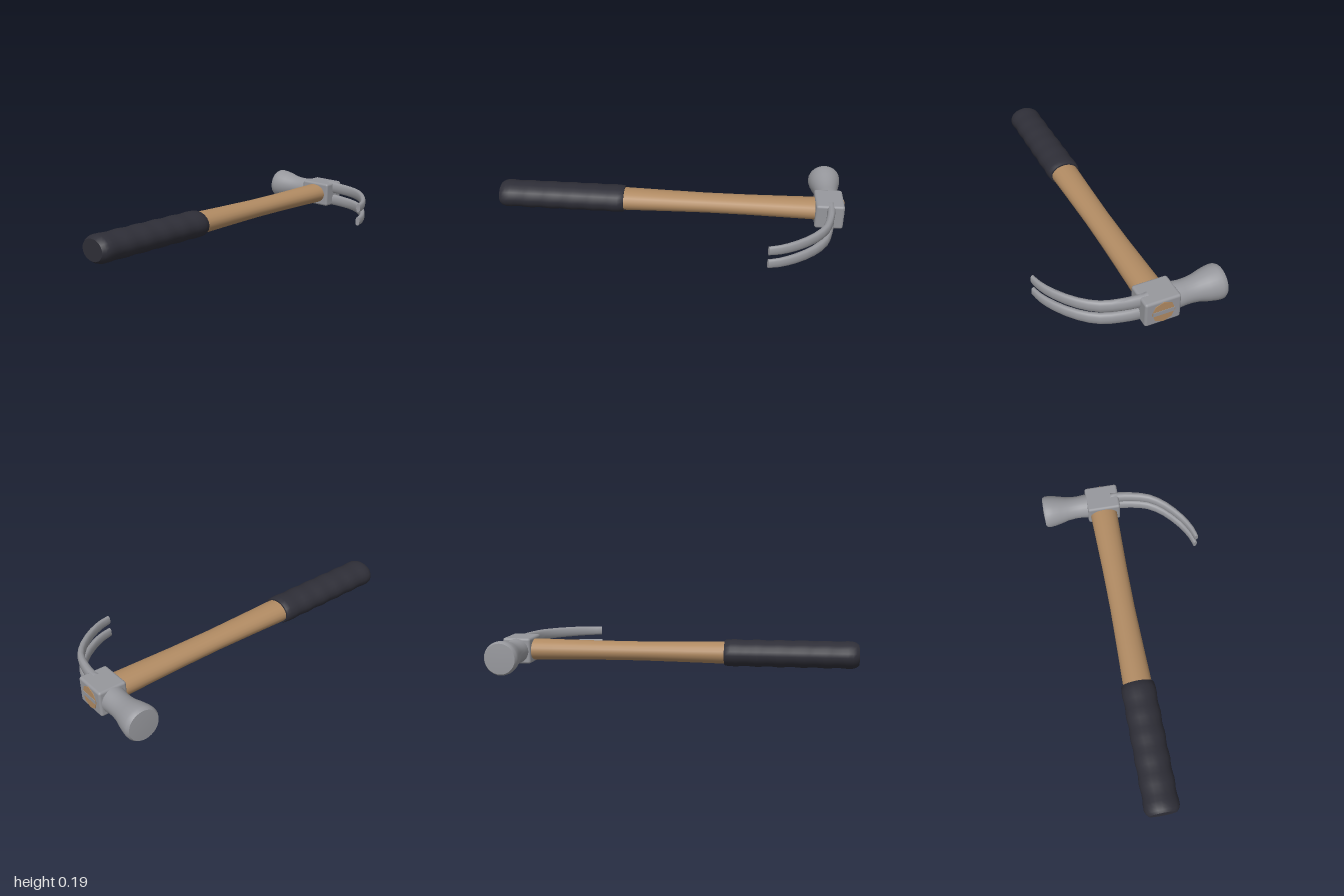
import * as THREE from 'three';
import { toCreasedNormals } from 'three/addons/utils/BufferGeometryUtils.js';
import { RoundedBoxGeometry } from 'three/addons/geometries/RoundedBoxGeometry.js';

const material = (name, color) => {
  const m = new THREE.MeshStandardMaterial({ color });
  m.name = name;
  return m;
};

const mesh = (name, geometry, mat) => {
  const m = new THREE.Mesh(geometry, mat);
  m.name = name;
  return m;
};

// Turned solid from [radius, distance along axis] pairs
const turned = (profile, sides) =>
  toCreasedNormals(new THREE.LatheGeometry(profile.map(([r, d]) => new THREE.Vector2(r, d)), sides), 0.7);

// Curved prong: elliptical sections swept along a path lying in the xz plane
function clawGeometry(path, offsetY) {
  const rings = 14, sides = 12, pos = [], index = [];
  for (let i = 0; i <= rings; i++) {
    const t = i / rings;
    const p = path.getPoint(t), tan = path.getTangent(t);
    const halfThick = THREE.MathUtils.lerp(0.025, 0.012, t);
    const halfHigh = THREE.MathUtils.lerp(0.037, 0.026, t);
    for (let j = 0; j < sides; j++) {
      const a = (j / sides) * Math.PI * 2;
      // slightly squared ellipse
      const soft = (v) => Math.sign(v) * Math.pow(Math.abs(v), 0.8);
      const u = soft(Math.cos(a)) * halfThick, v = soft(Math.sin(a)) * halfHigh;
      pos.push(p.x + tan.z * u, offsetY + v, p.z - tan.x * u);
    }
  }
  for (let i = 0; i < rings; i++) {
    for (let j = 0; j < sides; j++) {
      const k = (j + 1) % sides, a = i * sides, b = a + sides;
      index.push(a + j, a + k, b + j, a + k, b + k, b + j);
    }
  }
  // closed tip
  const tip = rings * sides;
  for (let j = 1; j < sides - 1; j++) index.push(tip, tip + j, tip + j + 1);
  const g = new THREE.BufferGeometry();
  g.setAttribute('position', new THREE.Float32BufferAttribute(pos, 3));
  g.setIndex(index);
  return toCreasedNormals(g, 0.9);
}

export function createModel() {
  const steel = material('steel', 0x96979c);
  const wood = material('wood', 0xb08a62);
  const rubber = material('rubber', 0x2e2e37);
  const hammer = new THREE.Group();
  hammer.name = 'hammer';

  // Handle: oval shaft and rippled grip, tilted a touch
  const handle = new THREE.Group();
  handle.name = 'handle';
  handle.position.set(0, 0.091, -0.084);
  handle.rotation.z = -0.007;
  hammer.add(handle);

  const shaft = turned([
    [0, -0.32], [0.081, -0.32], [0.081, -0.25], [0.076, -0.05], [0.071, 0.2],
    [0.072, 0.45], [0.077, 0.7], [0.08, 0.83], [0.08, 0.92], [0, 0.92]
  ], 20);
  shaft.rotateZ(-Math.PI / 2).scale(1, 0.75, 1);
  handle.add(mesh('shaft', shaft, wood));

  const gripProfile = [[0, -1], [0.076, -1], [0.09, -0.985]];
  for (let i = 0; i <= 24; i++) {
    const x = -0.965 + (i / 24) * 0.69;
    gripProfile.push([0.0955 + 0.0025 * Math.cos((x + 0.95) * Math.PI * 2 / 0.125), x]);
  }
  gripProfile.push([0.09, -0.27], [0, -0.27]);
  const grip = turned(gripProfile, 20);
  grip.rotateZ(-Math.PI / 2).scale(1, 0.765, 1);
  handle.add(mesh('grip', grip, rubber));

  // Head
  const head = new THREE.Group();
  head.name = 'head';
  head.position.set(0.905, 0.085, -0.08);
  head.rotation.x = 0.027;
  hammer.add(head);

  head.add(mesh('eyeBlock', new RoundedBoxGeometry(0.16, 0.146, 0.196, 2, 0.014), steel));

  // Striking end, from the block towards the back
  const poll = turned([
    [0, 0.05], [0.071, 0.05], [0.07, 0.1], [0.066, 0.14], [0.066, 0.175], [0.071, 0.22],
    [0.083, 0.265], [0.091, 0.305], [0.0935, 0.33], [0.0925, 0.346], [0.084, 0.36], [0, 0.365]
  ], 28);
  poll.rotateX(-Math.PI / 2);
  head.add(mesh('strikingEnd', poll, steel));

  // Pair of claws
  const path = new THREE.CatmullRomCurve3([
    [0.005, 0.05], [0.004, 0.1], [-0.008, 0.18], [-0.038, 0.28], [-0.105, 0.37],
    [-0.205, 0.45], [-0.29, 0.494], [-0.351, 0.51]
  ].map(([x, z]) => new THREE.Vector3(x, 0, z)));
  for (const side of [1, -1]) {
    head.add(mesh(side > 0 ? 'upperClaw' : 'lowerClaw', clawGeometry(path, side * 0.0405), steel));
  }

  // Exposed wood end with its steel wedge
  const woodEnd = new THREE.CylinderGeometry(0.063, 0.063, 0.006, 8);
  woodEnd.rotateZ(-Math.PI / 2).translate(0.08, 0, 0);
  head.add(mesh('handleEnd', woodEnd, wood));
  const wedge = mesh('wedge', new THREE.BoxGeometry(0.006, 0.024, 0.116), steel);
  wedge.position.x = 0.082;
  head.add(wedge);

  return hammer;
}
